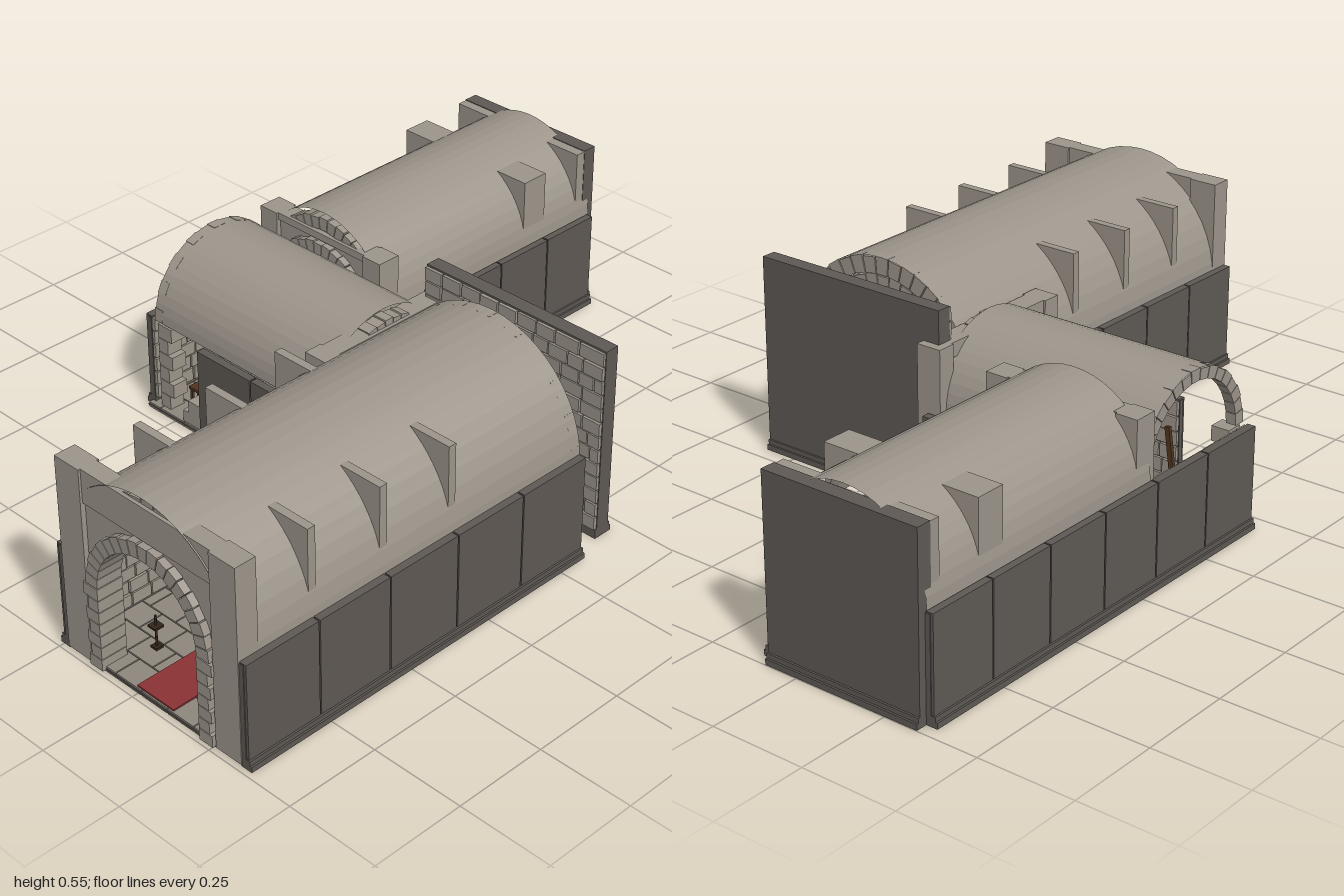
import * as THREE from 'three';
import { mergeGeometries } from 'three/addons/utils/BufferGeometryUtils.js';

const mat = (name, color) => {
  const m = new THREE.MeshStandardMaterial({ color });
  m.name = name;
  return m;
};

export function createModel() {
  const root = new THREE.Group();
  root.name = 'vaultedCorridor';
  const stone = mat('stone', 0x9d958b), dark = mat('dark stone', 0x5e5954);
  const paving = mat('floor stone', 0x8f877d), wood = mat('wood', 0x503520);
  const darkWood = mat('dark wood', 0x33251a), red = mat('red cloth', 0x8a3234);

  let seed = 7;
  const rand = () => (seed = (seed * 16807) % 2147483647) / 2147483647;

  const add = (parent, name, geo, material) => {
    const m = new THREE.Mesh(geo, material);
    m.name = name;
    parent.add(m);
    return m;
  };
  // Box geometry given by its two corners
  const box = (x0, x1, y0, y1, z0, z1) =>
    new THREE.BoxGeometry(x1 - x0, y1 - y0, z1 - z0)
      .translate((x0 + x1) / 2, (y0 + y1) / 2, (z0 + z1) / 2);
  // Box spanning a to b outwards from the centre, on side k
  const sideBox = (k, a, b, y0, y1, z0, z1) => box(k > 0 ? a : -b, k > 0 ? b : -a, y0, y1, z0, z1);
  const group = (name, x = 0, y = 0, z = 0, ry = 0) => {
    const g = new THREE.Group();
    g.name = name;
    g.position.set(x, y, z);
    g.rotation.y = ry;
    root.add(g);
    return g;
  };

  // Running bond of raised blocks on the XY plane, facing +z
  function bricks(parent, name, x0, x1, y0, y1) {
    const list = [], rows = Math.round((y1 - y0) / 0.038), h = (y1 - y0) / rows;
    for (let r = 0; r < rows; r++) {
      let x = x0;
      while (x < x1 - 0.001) {
        let w = (x === x0 && r % 2 ? 0.03 : 0.045) + rand() * 0.03;
        if (x + w > x1 - 0.025) w = x1 - x;
        list.push(box(x + 0.002, x + w - 0.002, y0 + r * h + 0.002, y0 + (r + 1) * h - 0.002, 0, 0.006 + rand() * 0.004));
        x += w;
      }
    }
    return add(parent, name, mergeGeometries(list), stone);
  }

  // Half-round ring of wedge stones on the XY plane
  function archStones(parent, name, cy, rIn, rOut, z0, z1, count) {
    const list = [];
    for (let i = 0; i < count; i++) {
      const a = (Math.PI * i) / count + 0.006, b = (Math.PI * (i + 1)) / count - 0.006;
      const ro = rOut - (i % 2) * 0.003, s = new THREE.Shape();
      s.moveTo(rIn * Math.cos(a), rIn * Math.sin(a));
      s.lineTo(ro * Math.cos(a), ro * Math.sin(a));
      s.lineTo(ro * Math.cos(b), ro * Math.sin(b));
      s.lineTo(rIn * Math.cos(b), rIn * Math.sin(b));
      list.push(new THREE.ExtrudeGeometry(s, { depth: z1 - z0, bevelEnabled: false }).translate(0, cy, z0));
    }
    add(parent, name, mergeGeometries(list), stone);
  }

  // Wall with an arched doorway, corner piers, wedge stones and jamb blocks
  function archway(name, x, z, ry, half, top, rIn, rOut, spring, depth, pier, vaultR, vaultY) {
    const g = group(name, x, 0, z, ry), d = depth / 2, s = new THREE.Shape();
    s.moveTo(-half, 0.01).lineTo(-rIn, 0.01).lineTo(-rIn, spring);
    s.absarc(0, spring, rIn, Math.PI, 0, true);
    s.lineTo(rIn, 0.01).lineTo(half, 0.01).lineTo(half, top).lineTo(-half, top);
    add(g, 'archWall', new THREE.ExtrudeGeometry(s, { depth: depth - 0.026, bevelEnabled: false, curveSegments: 20 })
      .translate(0, 0, -d + 0.013), stone);
    archStones(g, 'doorArch', spring, rIn - 0.002, rOut, -d - 0.006, d + 0.006, 19);
    archStones(g, 'vaultRib', vaultY, vaultR - 0.05, vaultR - 0.015, -d + 0.015, d - 0.015, 21);
    add(g, 'lintel', box(-half + pier, half - pier, Math.min(spring + rOut + 0.003, top - 0.02), top, -d + 0.006, d - 0.006), stone);
    const blocks = [];
    for (const k of [-1, 1]) {
      add(g, 'pier', sideBox(k, half - pier, half, 0.01, top, -d, d), stone);
      for (let i = 0; i < 7; i++) {
        const h = (spring - 0.01) / 7, w = rOut + (i % 2 ? -0.006 : 0.002) + (i === 6 ? 0.006 : 0);
        blocks.push(sideBox(k, rIn - 0.003, w, 0.011 + i * h, 0.009 + (i + 1) * h, -d - 0.007, d + 0.007));
      }
    }
    add(g, 'jambBlocks', mergeGeometries(blocks), stone);
  }

  // Faceted half-cylinder roof along local z
  function vault(name, x, y, z, r, len, ry = 0) {
    const geo = new THREE.CylinderGeometry(r, r, len, 24, 1, true, Math.PI / 2, Math.PI).rotateX(Math.PI / 2).toNonIndexed();
    geo.computeVertexNormals();
    const m = add(root, name, geo, stone);
    m.position.set(x, y, z);
    m.rotation.y = ry;
  }

  // Pair of plates filling the corner between the vault curve and a square haunch
  function haunches(name, x, cy, z, r, outer, top, depth) {
    const a0 = Math.acos(outer / r), a1 = Math.asin((top - cy) / r);
    for (const k of [1, -1]) {
      const s = new THREE.Shape();
      s.moveTo(k * outer, top);
      for (let i = 0; i <= 8; i++) {
        const a = a1 + ((a0 - a1) * i) / 8;
        s.lineTo(k * r * Math.cos(a), cy + r * Math.sin(a));
      }
      add(root, name, new THREE.ExtrudeGeometry(s, { depth, bevelEnabled: false }).translate(x, 0, z - depth / 2), stone);
    }
  }

  // Stepped plinth along a wall
  const plinth = (a, b, back) => mergeGeometries([box(a, b, 0.005, 0.02, -0.01, back), box(a, b, 0.02, 0.032, -0.005, back)]);

  // Wall of dark panels outside (facing local -z), blocks inside, a plinth below
  function wall(name, x, z, ry, len, height, panels, thick = 0.022) {
    const g = group(name, x, 0, z, ry), list = [], w = len / panels;
    for (let i = 0; i < panels; i++)
      list.push(box(-len / 2 + i * w + 0.002, -len / 2 + (i + 1) * w - 0.002, 0.028, height, 0, thick));
    list.push(box(-len / 2, len / 2, 0.03, height - 0.003, 0.007, thick - 0.002));
    add(g, 'panels', mergeGeometries(list), dark);
    add(g, 'plinth', plinth(-len / 2, len / 2, thick), dark);
    bricks(g, 'innerBlocks', -len / 2, len / 2, 0.03, height - 0.003).position.z = thick;
  }

  // Paving stones around a thin bed, seen from above and below
  function floor(name, x0, x1, z0, z1) {
    const g = group(name), tiles = [];
    add(g, 'bed', box(x0, x1, 0.009, 0.014, z0, z1), dark);
    const rows = Math.round((z1 - z0) / 0.07), d = (z1 - z0) / rows;
    const cols = Math.round((x1 - x0) / 0.09), w = (x1 - x0) / cols;
    for (let r = 0; r < rows; r++) for (let c = 0; c <= cols; c++) {
      const a = Math.max(x0, x0 + (c - (r % 2) / 2) * w), b = Math.min(x1, x0 + (c + 1 - (r % 2) / 2) * w);
      if (b - a > 0.01) tiles.push(box(a + 0.0015, b - 0.0015, 0.004, 0.019, z0 + r * d + 0.0015, z0 + (r + 1) * d - 0.0015));
    }
    add(g, 'paving', mergeGeometries(tiles), paving);
  }

  const Q = Math.PI / 2;
  // Front hall
  floor('hallFloor', 0.005, 0.605, -0.08, 0.985);
  vault('hallVault', 0.305, 0.27, 0.453, 0.286, 1.066);
  wall('hallLeftWall', 0.61, 0.453, -Q, 1.066, 0.287, 5);
  wall('hallRightWall', 0.0, 0.608, Q, 0.756, 0.287, 4);
  for (const z of [0.34, 0.553, 0.765]) haunches('vaultButtress', 0.305, 0.27, z, 0.286, 0.275, 0.51, 0.022);
  archway('frontArchway', 0.305, 0.959, 0, 0.285, 0.528, 0.163, 0.2, 0.237, 0.058, 0.08, 0.286, 0.27);
  add(root, 'carpet', box(0.245, 0.365, 0.019, 0.023, -0.07, 0.98), red);
  // Rear arch closing the end of the hall roof
  const rear = group('hallRearArch', 0.305, 0, -0.065);
  archStones(rear, 'outerStones', 0.27, 0.24, 0.286, -0.014, 0.014, 21);
  archStones(rear, 'innerStones', 0.27, 0.2, 0.238, -0.01, 0.01, 19);
  for (const k of [-1, 1]) add(rear, 'archPier', sideBox(k, 0.2, 0.283, 0.015, 0.27, -0.012, 0.012), stone);

  // Cross passage
  floor('passageFloor', -0.6, 0.03, -0.215, 0.215);
  vault('passageVault', -0.27, 0.27, 0, 0.202, 0.6, Q);
  archway('passageArchway', 0.035, 0.002, Q, 0.225, 0.44, 0.13, 0.162, 0.237, 0.07, 0.05, 0.202, 0.27);
  wall('passageFrontWall', -0.193, 0.23, Math.PI, 0.386, 0.272, 2);
  wall('passageBackWall', -0.05, -0.25, 0, 0.17, 0.272, 1);
  archStones(group('passageEndRib', -0.558, 0, 0, Q), 'ribStones', 0.27, 0.172, 0.203, -0.014, 0.014, 17);
  // Broken opening: corner blocks and fallen stones
  const opening = group('brokenOpening'), corner = [];
  for (let i = 0; i < 6; i++)
    corner.push(box(-0.565, -0.53 + (i % 2) * 0.015, 0.018 + i * 0.041, 0.057 + i * 0.041, 0.155, 0.2));
  add(opening, 'cornerBlocks', mergeGeometries(corner), stone);
  add(opening, 'lowBlocks', mergeGeometries([box(-0.47, -0.387, 0.015, 0.052, 0.16, 0.21),
    box(-0.45, -0.387, 0.052, 0.088, 0.16, 0.21)]), stone);

  // Back room
  floor('backRoomFloor', -0.6, -0.15, -0.96, -0.22);
  vault('backRoomVault', -0.375, 0.275, -0.585, 0.22, 0.77);
  wall('backRoomRightWall', -0.61, -0.385, Q, 1.17, 0.272, 6);
  wall('backRoomLeftWall', -0.14, -0.612, -Q, 0.72, 0.272, 4);
  haunches('thickButtress', -0.375, 0.275, -0.757, 0.22, 0.214, 0.462, 0.08);
  haunches('endButtress', -0.375, 0.275, -0.94, 0.22, 0.214, 0.468, 0.036);
  archway('backRoomArchway', -0.375, -0.215, 0, 0.215, 0.44, 0.15, 0.182, 0.237, 0.066, 0.06, 0.22, 0.275);

  // End walls: plain dark outside, blocks inside
  for (const [name, x, z, half, top] of [['hallEndWall', 0.305, -0.2, 0.283, 0.527], ['backRoomEndWall', -0.375, -0.99, 0.215, 0.47]]) {
    const g = group(name, x, 0, z);
    add(g, 'wallCore', box(-half, half, 0.01, top, 0, 0.04), dark);
    add(g, 'plinth', plinth(-half, half, 0.045), dark);
    bricks(g, 'innerBlocks', -half, half, 0.03, top - 0.003).position.z = 0.04;
  }

  // Bookcase
  const shelf = group('bookcase', 0.307, 0, -0.15);
  const frame = [box(-0.077, -0.065, 0.012, 0.245, 0, 0.038), box(0.065, 0.077, 0.012, 0.245, 0, 0.038),
    box(-0.085, 0.085, 0.243, 0.256, 0, 0.042), box(-0.077, 0.077, 0.01, 0.022, 0, 0.026)];
  for (let i = 0; i < 9; i++) frame.push(box(-0.08 + i * 0.0185, -0.07 + i * 0.0185, 0.236, 0.25, 0.03, 0.048));
  const books = [], darkBooks = [];
  for (let i = 0; i < 5; i++) {
    const y = 0.024 + i * 0.044;
    frame.push(box(-0.065, 0.065, y - 0.007, y, 0, i ? 0.037 : 0.026));
    for (let x = -0.063; x < 0.055;) {
      const w = 0.007 + rand() * 0.006, k = rand();
      if (k > 0.14) (k > 0.42 ? books : darkBooks).push(box(x, x + w - 0.0015, y, y + 0.024 + rand() * 0.009, 0.008, 0.028 + rand() * 0.007));
      x += w;
    }
  }
  add(shelf, 'frame', mergeGeometries(frame), wood);
  add(shelf, 'backPanel', box(-0.07, 0.07, 0.015, 0.245, 0, 0.006), darkWood);
  add(shelf, 'redBooks', mergeGeometries(books), red);
  add(shelf, 'brownBooks', mergeGeometries(darkBooks), darkWood);

  // Small stool
  const stool = [box(-0.024, 0.024, 0.042, 0.05, -0.024, 0.024), box(-0.018, 0.018, 0.014, 0.019, -0.003, 0.003)];
  for (const i of [-1, 1]) for (const j of [-1, 1])
    stool.push(new THREE.BoxGeometry(0.007, 0.05, 0.007).translate(i * 0.018, 0.025, j * 0.018));
  add(group('stool', -0.498, 0.019, 0.12), 'stoolFrame', mergeGeometries(stool), wood);

  // Slim stand inside the entrance
  add(group('stand', 0.173, 0.019, 0.86), 'standFrame', mergeGeometries([
    new THREE.CylinderGeometry(0.003, 0.003, 0.09, 8).translate(0, 0.045, 0),
    box(-0.013, 0.013, 0.058, 0.064, -0.013, 0.013), box(-0.01, 0.01, 0, 0.006, -0.01, 0.01)]), darkWood);

  // Leaning plank
  const plank = add(root, 'leaningPlank', new THREE.BoxGeometry(0.013, 0.2, 0.01), wood);
  plank.position.set(-0.443, 0.155, 0.1);
  plank.rotation.z = -0.14;
  return root;
}
